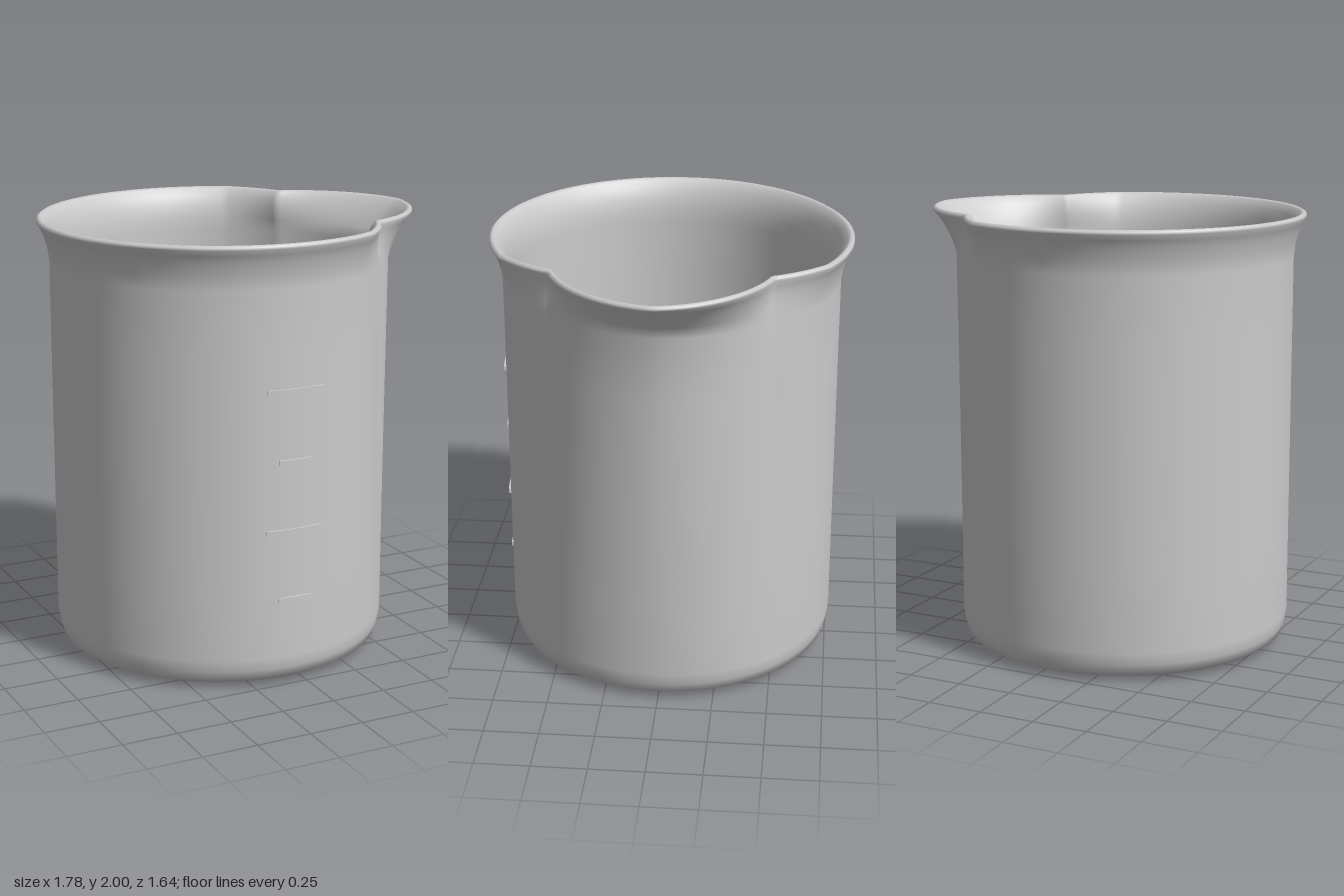
import * as THREE from 'three';

const AXIS_X = -0.075; // the round body sits off centre because of the spout
const SEGMENTS = 240;
const LIQUID_LEVEL = 1.04;

const grey = new THREE.MeshStandardMaterial({ color: 0xcccccc });
const blue = new THREE.MeshStandardMaterial({ color: 0x4fa8e0 });

// Rim displacement around the axis: spout at 0 degrees, pinched on both sides
function spoutOffset(angle) {
  const deg = Math.abs(THREE.MathUtils.radToDeg(angle));
  const pinch = -0.075;
  if (deg < 40.5) return pinch + 0.22 * (1 - Math.pow(deg / 40.5, 1.4));
  if (deg < 61.5) return pinch * (61.5 - deg) / 21;
  return 0;
}

// How strongly the spout pulls the wall at each height
function spoutWeight(y) {
  if (y < 0.14) return 0;
  if (y < 1.8) return 0.28 * (y - 0.14) / 1.66;
  return 0.28 + 0.72 * Math.min(1, (y - 1.8) / 0.18);
}

// Closed ring of profiles: up the outside, over the lip, down the inside
function wallGeometry() {
  const profile = [
    [0.65, 0], [0.7, 0.015], [0.742, 0.04], [0.757, 0.085], [0.765, 0.14],
    [0.765, 0.5], [0.765, 1], [0.765, 1.5], [0.765, 1.8], [0.773, 1.86],
    [0.79, 1.92], [0.805, 1.955], [0.82, 1.98], [0.818, 1.992], [0.805, 2],
    [0.79, 1.992], [0.765, 1.96], [0.748, 1.91], [0.738, 1.86], [0.735, 1.8],
    [0.735, 1.5], [0.735, 1], [0.735, 0.5], [0.735, 0.14], [0.71, 0.07], [0.65, 0.04],
  ];
  const positions = [];
  const index = [];
  profile.forEach(([r, y], i) => {
    for (let j = 0; j < SEGMENTS; j++) {
      const a = (j / SEGMENTS) * Math.PI * 2 - Math.PI;
      const radius = r + spoutOffset(a) * spoutWeight(y);
      positions.push(radius * Math.cos(a), y, radius * Math.sin(a));
      if (i === profile.length - 1) continue;
      const p = i * SEGMENTS + j;
      const q = i * SEGMENTS + (j + 1) % SEGMENTS;
      index.push(p, p + SEGMENTS, q, q, p + SEGMENTS, q + SEGMENTS);
    }
  });
  const geometry = new THREE.BufferGeometry();
  geometry.setAttribute('position', new THREE.Float32BufferAttribute(positions, 3));
  geometry.setIndex(index);
  geometry.computeVertexNormals();
  return geometry;
}

// Raised line that follows the curve of the wall
function markGeometry(width) {
  const half = Math.asin(width / 2 / 0.77);
  const mid = -Math.PI / 2;
  const shape = new THREE.Shape();
  shape.absarc(0, 0, 0.775, mid - half, mid + half, false);
  shape.absarc(0, 0, 0.755, mid + half, mid - half, true);
  const geometry = new THREE.ExtrudeGeometry(shape, { depth: 0.02, bevelEnabled: false, curveSegments: 12 });
  return geometry.rotateX(-Math.PI / 2);
}

export function createModel() {
  const model = new THREE.Group();
  model.name = 'beaker';
  const add = (name, geometry, material = grey) => {
    const mesh = new THREE.Mesh(geometry, material);
    mesh.name = name;
    mesh.position.x = AXIS_X;
    model.add(mesh);
    return mesh;
  };

  // Glass body
  add('wall', wallGeometry());
  add('base', new THREE.CircleGeometry(0.65, SEGMENTS).rotateX(Math.PI / 2));
  add('innerFloor', new THREE.CircleGeometry(0.65, SEGMENTS).rotateX(-Math.PI / 2)).position.y = 0.04;

  // Liquid with a softened upper edge
  const liquid = [
    [0, 0.05], [0.65, 0.05], [0.705, 0.08], [0.727, 0.15],
    [0.727, LIQUID_LEVEL - 0.015], [0.717, LIQUID_LEVEL], [0, LIQUID_LEVEL],
  ].map(([r, y]) => new THREE.Vector2(r, y));
  add('liquid', new THREE.LatheGeometry(liquid, 96), blue);

  // Measuring marks, alternately short and long
  for (let i = 0; i < 4; i++) {
    const mark = add('measuringMark', markGeometry(i % 2 ? 0.27 : 0.155));
    mark.position.y = 0.4 + i * 0.315;
  }
  return model;
}
